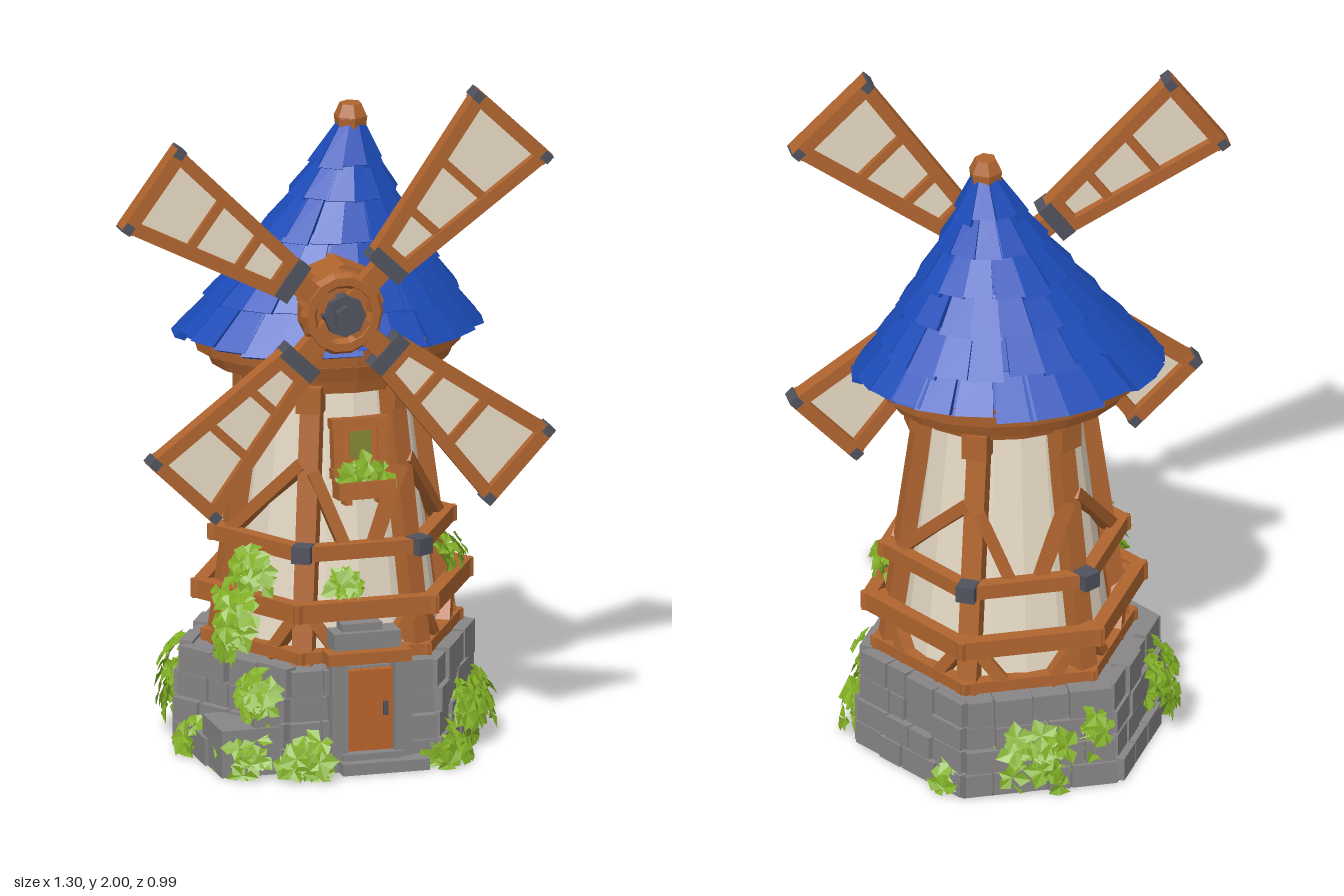
import * as THREE from 'three';
import { mergeGeometries } from 'three/addons/utils/BufferGeometryUtils.js';

const mat = (name, color, side = THREE.FrontSide) => {
  const m = new THREE.MeshStandardMaterial({ color, side });
  m.name = name;
  return m;
};
const V = (x, y, z) => new THREE.Vector3(x, y, z);
const lerp = THREE.MathUtils.lerp;

// seeded random numbers
let seed = 7;
const rnd = (a = 0, b = 1) => {
  seed = (seed * 16807) % 2147483647;
  return a + (b - a) * (seed / 2147483647);
};

// faceted copy of a geometry
const facet = (g) => {
  const f = g.toNonIndexed();
  f.computeVertexNormals();
  return f;
};

// squared beam from a to b; w across, d along the outward direction
function beam(a, b, w, d, out = V(0, 0, 1)) {
  const y = b.clone().sub(a), len = y.length();
  y.normalize();
  const z = out.clone().addScaledVector(y, -out.dot(y)).normalize();
  const x = y.clone().cross(z);
  const m = new THREE.Matrix4().makeBasis(x, y, z).setPosition(a.clone().add(b).multiplyScalar(0.5));
  return facet(new THREE.BoxGeometry(w, len, d).applyMatrix4(m));
}
const box = (x, y, z, w, h, d) => facet(new THREE.BoxGeometry(w, h, d).translate(x, y, z));
const drum = (x, y, z, rTop, rBot, h, n, sz = 1) =>
  facet(new THREE.CylinderGeometry(rTop, rBot, h, n).scale(1, 1, sz).translate(x, y, z));
const disc = (x, y, z, r, h, n) =>
  facet(new THREE.CylinderGeometry(r, r, h, n).rotateX(Math.PI / 2).translate(x, y, z));
const hexSlab = (y, rTop, rBot, h) =>
  facet(new THREE.CylinderGeometry(rTop, rBot, h, 6).rotateY(Math.PI / 6).translate(0.06, y, CZ));

// hexagonal tower plan with corners on the x axis
const CX = 0.08, CZ = -0.03;
const outward = (k) => V(Math.cos(k * Math.PI / 3), 0, Math.sin(k * Math.PI / 3));
const corner = (k, r, y, cx = CX) => outward(k).multiplyScalar(r).add(V(cx, y, CZ));

// roof surface: angle, height fraction t, distance off the surface
function roofPoint(a, t, off) {
  const rx = 0.03 + 0.395 * Math.pow(1 - t, 1.2) + off;
  const rz = 0.03 + 0.275 * Math.pow(1 - t, 1.1) + off;
  return V(lerp(0.075, 0.135, t) + Math.sin(a) * rx, 1.21 + t * 0.61 + off * 0.4,
    lerp(-0.06, -0.03, t) + Math.cos(a) * rz);
}
function shingle(a0, a1, t0, t1) {
  const g = new THREE.BoxGeometry(1, 1, 1), p = g.attributes.position;
  for (let i = 0; i < p.count; i++) {
    const top = p.getY(i) > 0;
    const off = p.getZ(i) > 0 ? (top ? 0.012 : 0.026) : -0.004;
    const q = roofPoint(p.getX(i) > 0 ? a1 : a0, top ? t1 : t0, off);
    p.setXYZ(i, q.x, q.y, q.z);
  }
  return facet(g);
}

// bush or vine patch: sprigs of broad folded leaves filling a spheroid
function foliage(x, y, z, r, ry) {
  const pos = [], count = Math.ceil(r * ry * 3600);
  for (let i = 0; i < count; i++) {
    const dir = V(rnd(-1, 1), rnd(-1, 1), rnd(-1, 1)).normalize();
    const k = rnd(0.25, 1);
    const base = V(x + dir.x * r * k, Math.max(0.015, y + dir.y * ry * k), z + dir.z * r * k);
    // leaves face up and away from the tower
    const away = V(base.x - CX, 0, base.z - CZ).normalize();
    const nrm = dir.multiplyScalar(0.6).add(away).add(V(0, 0.6, 0)).normalize();
    const u = V(rnd(-1, 1), rnd(-1, 1), rnd(-1, 1)).cross(nrm).normalize();
    const w = nrm.clone().cross(u);
    for (let j = 0; j < 4; j++) {
      const ang = j * 1.3 + rnd(-0.2, 0.2), len = rnd(0.035, 0.062);
      const along = u.clone().multiplyScalar(Math.cos(ang)).addScaledVector(w, Math.sin(ang));
      const side = nrm.clone().cross(along);
      const mid = base.clone().addScaledVector(along, len * 0.5).addScaledVector(nrm, 0.006);
      const tip = base.clone().addScaledVector(along, len);
      const left = mid.clone().addScaledVector(side, len * 0.4);
      const right = mid.clone().addScaledVector(side, -len * 0.4);
      for (const v of [base, tip, left, base, right, tip]) pos.push(v.x, Math.max(0.002, v.y), v.z);
    }
  }
  const g = new THREE.BufferGeometry();
  g.setAttribute('position', new THREE.Float32BufferAttribute(pos, 3));
  g.computeVertexNormals();
  return g;
}

export function createModel() {
  seed = 7;
  const wood = mat('wood', 0xb0652f), doorWood = mat('door wood', 0xb9632a);
  const plaster = mat('plaster', 0xeaddc8), cloth = mat('sail cloth', 0xe8dac4, THREE.DoubleSide);
  const stone = mat('stone', 0x878585), iron = mat('iron', 0x50525e), earth = mat('earth', 0x746f5c);
  const blue = mat('roof blue', 0x1c4cba), leaf = mat('leaf green', 0x82b026, THREE.DoubleSide);
  const pane = mat('window pane', 0x7f8030);
  const root = new THREE.Group();
  root.name = 'windmill';
  const add = (name, parts, material, parent = root) => {
    parts.forEach((p) => p.deleteAttribute('uv'));
    const m = new THREE.Mesh(mergeGeometries(parts), material);
    m.name = name;
    parent.add(m);
  };

  // stone base: hexagonal core faced with uneven blocks
  add('earthSole', [hexSlab(0.003, 0.455, 0.455, 0.006)], earth);
  const blocks = [hexSlab(0.152, 0.42, 0.44, 0.296)];
  for (let k = 0; k < 6; k++) for (let row = 0; row < 4; row++) {
    const r = 0.438 - row * 0.007, y = 0.039 + row * 0.074;
    const a = corner(k, r, y, 0.06), b = corner(k + 1, r, y, 0.06);
    const cuts = [0, 1, 2, 3, 4].map((i) => -0.015 + i * 0.2575 + (i % 4 ? rnd(-0.07, 0.07) : 0));
    for (let i = 0; i < 4; i++) {
      const p = a.clone().lerp(b, cuts[i] + 0.008), q = a.clone().lerp(b, cuts[i + 1] - 0.008);
      if (k === 1) { // leave the doorway open
        if (p.x > 0 && p.x < 0.16) p.x = 0;
        if (q.x < 0.16 && p.x > 0.16) q.x = 0.16;
        if (p.x - q.x < 0.02) continue;
      }
      const h = row === 3 ? rnd(0.07, 0.1) : 0.07;
      blocks.push(beam(p, q, h, rnd(0.035, 0.07), outward(k + 0.5)));
    }
  }
  add('stoneBase', blocks, stone);
  add('outcropStones', [box(-0.27, 0.07, 0.25, 0.18, 0.14, 0.2), box(-0.2, 0.12, 0.27, 0.12, 0.2, 0.14),
    box(-0.3, 0.04, 0.13, 0.14, 0.08, 0.16)], stone);

  // door, its surround and steps
  add('door', [0, 1, 2].map((i) => box(0.034 + i * 0.046, 0.17, 0.355, 0.045, 0.25, 0.025)), doorWood);
  add('doorHandle', [box(0.125, 0.18, 0.373, 0.014, 0.04, 0.012)], iron);
  add('doorSurround', [...[-0.015, 0.175].map((x) => box(x, 0.16, 0.355, 0.05, 0.32, 0.06)),
    box(0.07, 0.385, 0.335, 0.2, 0.05, 0.08), box(0.06, 0.415, 0.325, 0.12, 0.035, 0.06)], stone);
  add('doorLintel', [box(0.075, 0.335, 0.35, 0.25, 0.035, 0.07)], wood);
  add('steps', [box(0.11, 0.019, 0.385, 0.26, 0.034, 0.1), box(0.08, 0.04, 0.37, 0.18, 0.03, 0.06)], stone);

  // plaster tower
  add('towerWall', [drum(CX, 0.7, CZ, 0.212, 0.312, 0.84, 18)], plaster);

  // posts, braces, hoops and iron clamps around the six corners
  const R = (y) => lerp(0.345, 0.232, (y - 0.3) / 0.8);
  const frame = [], hoops = [], clamps = [];
  for (let k = 0; k < 6; k++) {
    const out = outward(k), face = outward(k + 0.5);
    frame.push(beam(corner(k, R(0.28), 0.28), corner(k, R(1.12), 1.12), 0.06, 0.05, out));
    frame.push(beam(corner(k, R(1.06) + 0.02, 1.03), corner(k, R(1.06) + 0.02, 1.11), 0.075, 0.06, out));
    const at = (f, y) => corner(k, R(y) + 0.022, y).lerp(corner(k + 1, R(y) + 0.022, y), f);
    const brace = (f0, y0, f1, y1) => frame.push(beam(at(f0, y0), at(f1, y1), 0.036, 0.04, face));
    if (k % 3 === 1) {
      brace(0.04, 0.86, 0.36, 0.64);
      brace(0.96, 0.86, 0.64, 0.64);
    } else if (k % 3 === 0) brace(0.08, 0.64, 0.94, 0.88);
    else brace(0.92, 0.64, 0.06, 0.88);
    brace(0.06, 0.44, 0.34, 0.31);
    brace(0.94, 0.44, 0.66, 0.31);
    for (const [r, y, h] of [[0.345, 0.63, 0.045], [0.395, 0.465, 0.055], [0.365, 0.325, 0.035]]) {
      const a = corner(k, r, y), b = corner(k + 1, r, y);
      const ext = b.clone().sub(a).normalize().multiplyScalar(0.02);
      hoops.push(beam(a.sub(ext), b.add(ext), h, 0.04, face));
      if (y > 0.4) hoops.push(beam(corner(k, R(y), y), corner(k, r, y), 0.04, 0.04, V(0, 1, 0)));
    }
    if (k % 3) clamps.push(beam(corner(k, 0.35, 0.606), corner(k, 0.35, 0.656), 0.055, 0.055, out));
  }
  add('timberFrame', frame, wood);
  add('timberHoops', hoops, wood);
  add('ironClamps', clamps, iron);

  // collar under the roof
  add('collar', [drum(CX, 1.11, -0.03, 0.3, 0.285, 0.05, 20, 0.88),
    drum(0.075, 1.15, -0.045, 0.37, 0.35, 0.045, 20, 0.83),
    drum(0.072, 1.2, -0.05, 0.4, 0.39, 0.06, 20, 0.79)], wood);

  // shingled roof leaning slightly to one side, over a closed cone
  const tiles = [];
  [24, 22, 19, 16, 12, 9].forEach((n, i) => {
    const s = Math.PI * 2 / n;
    for (let j = 0; j < n; j++) {
      const a = (j + (i % 2) * 0.5) * s + rnd(-0.03, 0.03);
      tiles.push(shingle(a, a + s * 0.99, i / 6.1 + rnd(-0.025, 0.015), Math.min((i + 1.15) / 6.1, 1)));
    }
  });
  const under = new THREE.CylinderGeometry(1, 1, 1, 24, 6), up = under.attributes.position;
  for (let i = 0; i < up.count; i++) {
    const x = up.getX(i), z = up.getZ(i), t = up.getY(i) + 0.5;
    const q = roofPoint(Math.atan2(x, z), t, 0), centre = Math.hypot(x, z) < 0.1;
    up.setXYZ(i, centre ? lerp(0.075, 0.135, t) : q.x, q.y, centre ? lerp(-0.06, -0.03, t) : q.z);
  }
  add('roofShingles', [...tiles, facet(under)], blue);
  add('finial', [drum(0.135, 1.825, -0.03, 0.05, 0.045, 0.04, 6), drum(0.135, 1.862, -0.03, 0.032, 0.05, 0.04, 6)], wood);

  // axle housing and hub
  const HX = 0.01, HY = 1.355;
  add('axleHousing', [disc(0.035, HY + 0.01, 0.17, 0.118, 0.17, 8)], wood);
  const rim = new THREE.TorusGeometry(0.1, 0.024, 6, 14).translate(HX, HY, 0.315);
  add('hubWheel', [disc(HX, HY, 0.285, 0.12, 0.05, 14), facet(rim)], wood);
  add('hubCap', [disc(HX, HY, 0.33, 0.062, 0.05, 8), disc(HX, HY, 0.36, 0.036, 0.03, 6)], iron);

  // four sails: angle in degrees, length, half width at the tip
  [[46, 0.74, 0.136], [144, 0.715, 0.126], [226, 0.695, 0.118], [-43, 0.73, 0.124]].forEach(([deg, L, hw], i) => {
    const sail = new THREE.Group();
    sail.name = 'sail' + (i + 1);
    sail.position.set(HX, HY, 0.31);
    sail.rotation.z = THREE.MathUtils.degToRad(deg);
    const r0 = 0.19, half = (r) => lerp(0.042, hw, (r - r0) / (L - r0));
    const bars = [beam(V(0, 0, 0), V(0.24, 0, 0), 0.06, 0.045)], irons = [box(r0, 0, 0, 0.045, 0.125, 0.065)];
    for (const s of [-1, 1]) {
      bars.push(beam(V(r0, s * half(r0), 0), V(L, s * hw, 0), 0.038, 0.05));
      irons.push(box(L - 0.012, s * (hw + 0.006), 0, 0.03, 0.03, 0.062));
    }
    for (const f of [0.3, 0.6]) {
      const r = lerp(r0, L, f);
      bars.push(beam(V(r, -half(r), 0), V(r, half(r), 0), 0.026, 0.036));
    }
    bars.push(beam(V(L - 0.015, -hw - 0.015, 0), V(L - 0.015, hw + 0.015, 0), 0.04, 0.056));
    add('sailFrame', bars, wood, sail);
    add('sailIrons', irons, iron, sail);
    const outline = [[r0, -half(r0)], [L - 0.02, -hw], [L - 0.02, hw], [r0, half(r0)]];
    const shape = new THREE.Shape(outline.map(([x, y]) => new THREE.Vector2(x, y)));
    add('sailCloth', [new THREE.ShapeGeometry(shape)], cloth, sail);
    root.add(sail);
  });

  // window with planter
  const win = new THREE.Group();
  win.name = 'window';
  win.position.set(0.09, 0.92, 0.212);
  win.rotation.x = -0.12;
  const sides = [-1, 1];
  add('windowFrame', [...sides.map((s) => box(s * 0.066, 0, 0, 0.03, 0.17, 0.05)),
    ...sides.map((s) => box(0, s * 0.073, 0.004, 0.17, 0.03, 0.055))], wood, win);
  add('windowPanel', [box(0, 0, 0.004, 0.12, 0.14, 0.025)], doorWood, win);
  add('windowPane', [box(0, 0.01, 0.018, 0.066, 0.08, 0.008)], pane, win);
  add('planter', [box(0, -0.115, 0.045, 0.17, 0.05, 0.075),
    ...sides.map((s) => box(s * 0.05, -0.145, 0.03, 0.02, 0.03, 0.05))], wood, win);
  root.add(win);

  // planting: centre, horizontal radius, vertical radius
  const grow = (name, patches) => add(name, patches.map((p) => foliage(...p)), leaf);
  grow('planterLeaves', [-1, 0, 1].map((i) => [0.085 + i * 0.045, 0.845, 0.265, 0.035, 0.04]));
  grow('climbingVines', [[-0.25, 0.22, 0.33, 0.06, 0.09], [-0.28, 0.42, 0.2, 0.06, 0.13],
    [-0.24, 0.58, 0.21, 0.07, 0.06], [0.02, 0.53, 0.3, 0.06, 0.04], [0.41, 0.54, 0.07, 0.05, 0.06]]);
  grow('frontBushes', [[-0.12, 0.06, 0.41, 0.08, 0.08], [-0.3, 0.05, 0.33, 0.09, 0.07],
    [0.41, 0.11, 0.2, 0.09, 0.12], [0.31, 0.04, 0.38, 0.07, 0.06], [0.49, 0.09, 0.05, 0.06, 0.1]]);
  grow('backBushes', [[0.03, 0.12, -0.42, 0.06, 0.14], [0.13, 0.12, -0.42, 0.06, 0.14],
    [-0.1, 0.16, -0.4, 0.05, 0.12], [0.3, 0.05, -0.36, 0.06, 0.06],
    [-0.35, 0.18, -0.16, 0.06, 0.14], [-0.37, 0.05, 0.07, 0.05, 0.06]]);
  return root;
}
